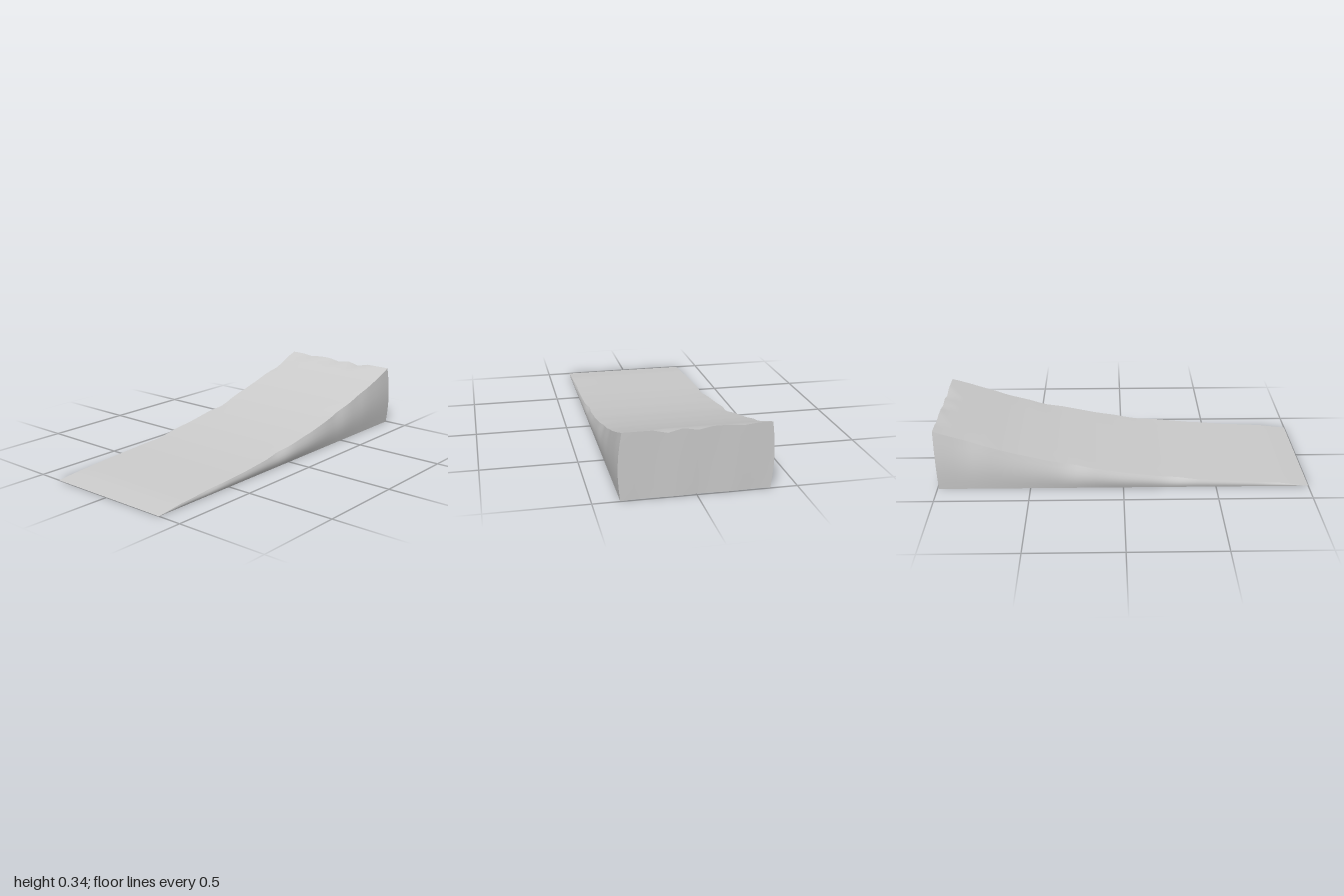
import * as THREE from 'three';

// Height of the slope along the ramp, from the thin front lip to the tall back
const slope = [[1, 0], [0.85, 0.018], [0.6, 0.033], [0.4, 0.045], [0.2, 0.065], [0, 0.09], [-0.2, 0.123],
  [-0.4, 0.165], [-0.6, 0.215], [-0.8, 0.275], [-1, 0.341]];
const COLS = 10, ROWS = 40, LAYERS = 6;

function height(z) {
  const i = Math.max(1, slope.findIndex(p => p[0] <= z + 1e-6));
  const [z0, h0] = slope[i - 1], [z1, h1] = slope[i];
  return h0 + (h1 - h0) * (z0 - z) / (z0 - z1);
}

// Chipped depth (0 to 1) along the left (+1) or right (-1) top edge
const chip = (side, z) => Math.max(0, Math.sin(z * 11 + side * 1.3) * 0.6 + Math.sin(z * 23 - side) * 0.4);

// Dips in the top edge of the back wall, one per column
const backDips = [0, 0, 0.008, 0, 0, 0.013, 0, 0.017, 0, 0, 0];

const zAt = t => 1 - 2 * t;

// Half width at a height fraction v: a slight swell between worn edges
function halfWidth(side, z, v) {
  const h = height(z);
  const swell = 0.013 * Math.sin(Math.PI * v) * Math.min(1, h / 0.1);
  return 0.366 + swell - v * v * 0.016 * chip(side, z) * Math.min(1, h / 0.08);
}

// A point of the solid: u across (0 right, 1 left), v up, t front to back
function point(u, v, t) {
  const z = zAt(t);
  const x = -halfWidth(-1, z, v) * (1 - u) + halfWidth(1, z, v) * u;
  let top = height(z);
  if (u === 0 || u === 1) top -= 0.03 * chip(u ? 1 : -1, z) * Math.min(top, 0.25) * (1 - t ** 8);
  if (t === 1) top -= backDips[Math.round(u * COLS)];
  const wear = t === 1 ? (1 - v) * (0.008 + 0.004 * Math.sin(u * 17)) : 0;
  return [x, top * v, z + wear];
}

// Smooth panel swept over a grid of points
function panel(name, nu, nv, fn, material) {
  const pos = [], index = [];
  for (let j = 0; j <= nv; j++) for (let i = 0; i <= nu; i++) pos.push(...fn(i / nu, j / nv));
  for (let j = 0; j < nv; j++) for (let i = 0; i < nu; i++) {
    const a = j * (nu + 1) + i, b = a + 1, c = a + nu + 1, d = c + 1;
    index.push(a, b, d, a, d, c);
  }
  const geo = new THREE.BufferGeometry();
  geo.setAttribute('position', new THREE.Float32BufferAttribute(pos, 3));
  geo.setIndex(index);
  geo.computeVertexNormals();
  const mesh = new THREE.Mesh(geo, material);
  mesh.name = name;
  return mesh;
}

export function createModel() {
  const group = new THREE.Group();
  group.name = 'ramp';
  const mat = new THREE.MeshStandardMaterial({ color: 0xcccccc });
  group.add(
    // curved running surface and flat base
    panel('rampSurface', COLS, ROWS, (a, b) => point(a, 1, b), mat),
    panel('base', COLS, ROWS, (a, b) => point(1 - a, 0, b), mat),
    // side walls
    panel('leftWall', ROWS, LAYERS, (a, b) => point(1, b, a), mat),
    panel('rightWall', ROWS, LAYERS, (a, b) => point(0, b, 1 - a), mat),
    // upright back wall
    panel('backWall', COLS, LAYERS, (a, b) => point(1 - a, b, 1), mat)
  );
  return group;
}
